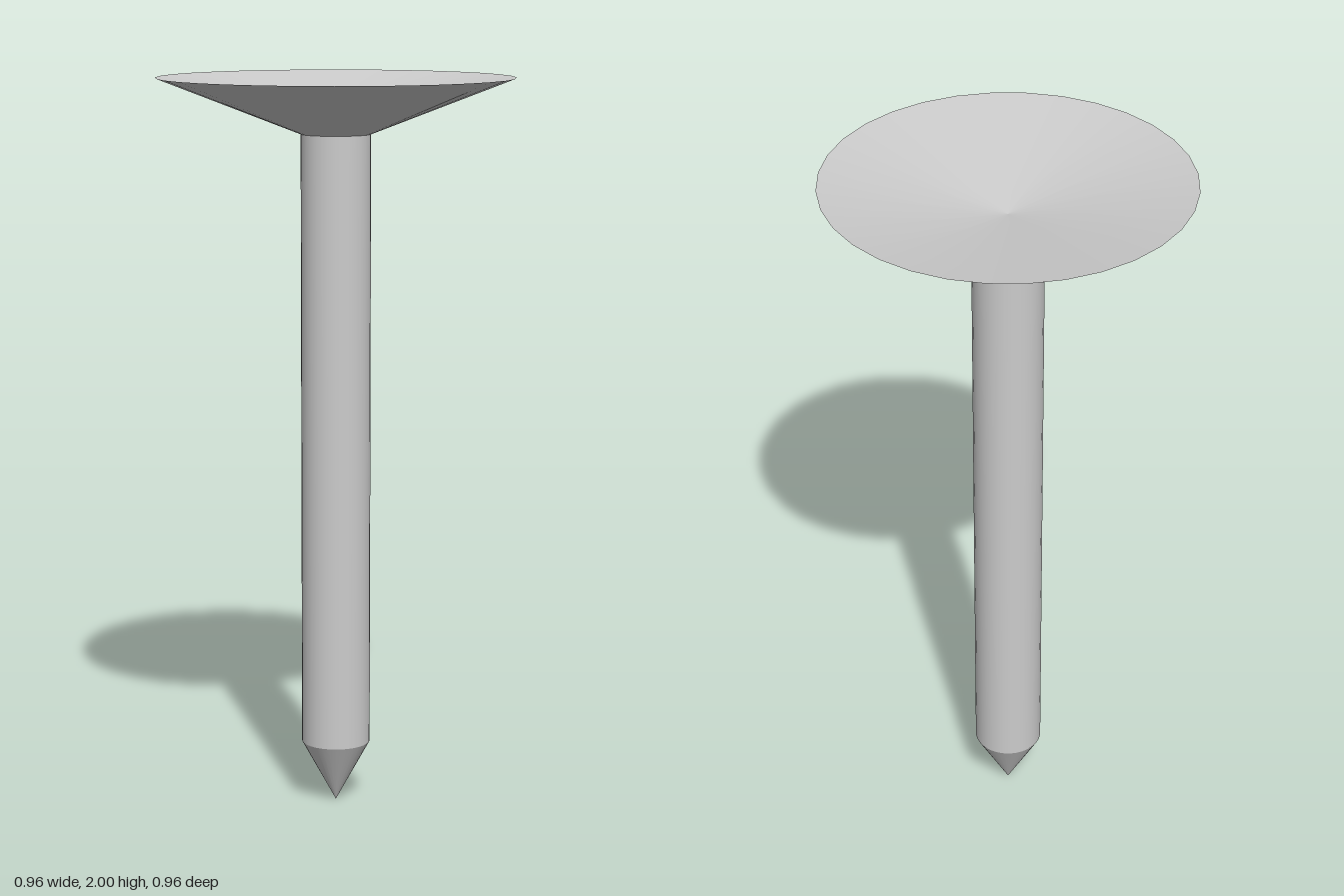
import * as THREE from 'three';

const SIDES = 32;
const SHAFT_R = 0.094, HEAD_R = 0.48;
const TIP_TOP = 0.172, NECK = 1.85, TOP = 2, DISH = 1.91;

export function createModel() {
  const group = new THREE.Group();
  group.name = 'nail';
  const material = new THREE.MeshStandardMaterial({ color: 0xcccccc });

  // One conical band per surface keeps the rims crisp and the sides smooth
  const band = (name, r0, y0, r1, y1) => {
    const profile = [new THREE.Vector2(r0, y0), new THREE.Vector2(r1, y1)];
    const mesh = new THREE.Mesh(new THREE.LatheGeometry(profile, SIDES), material);
    mesh.name = name;
    group.add(mesh);
  };

  band('tip', 0, 0, SHAFT_R, TIP_TOP);
  band('shaft', SHAFT_R, TIP_TOP, SHAFT_R, NECK);
  band('headUnderside', SHAFT_R, NECK, HEAD_R, TOP);
  // Shallow dished top, facing up
  band('headTop', HEAD_R, TOP, 0, DISH);

  return group;
}
